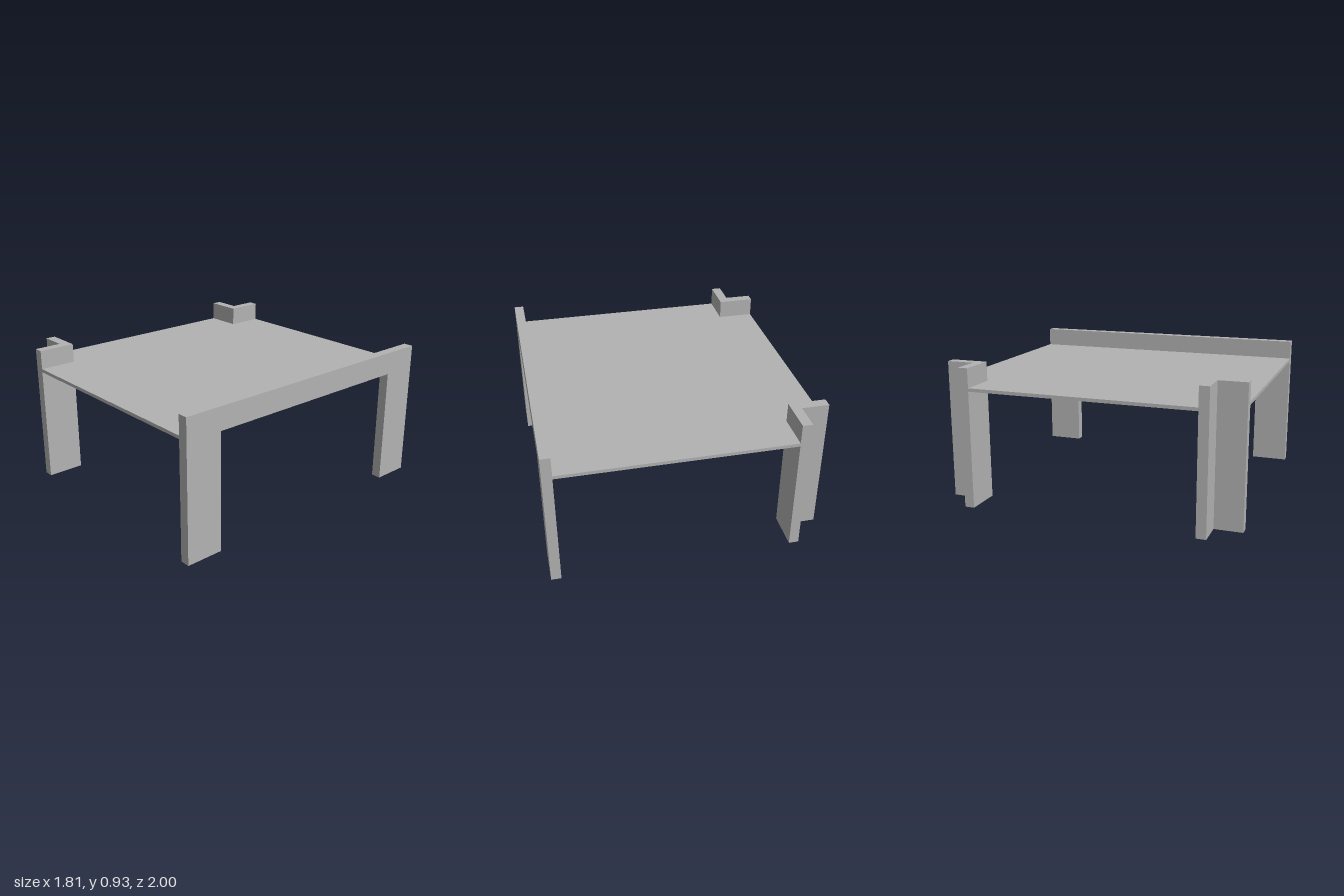
import * as THREE from 'three';

const W = 0.905, D = 1, H = 0.93; // half width, half depth, full height
const T = 0.065;                  // panel thickness
const SLAB_Y = 0.78, SLAB_T = 0.022;
const LEG_Z = 0.75, LEG_X = -0.66; // inner edges of the legs

function extrude(points, depth) {
  const shape = new THREE.Shape(points.map(([x, y]) => new THREE.Vector2(x, y)));
  return new THREE.ExtrudeGeometry(shape, { depth, bevelEnabled: false });
}

// Plan outline given as [x, z], raised from y0 by height
function fromPlan(points, y0, height) {
  return extrude(points.map(([x, z]) => [x, -z]), height)
    .rotateX(-Math.PI / 2)
    .translate(0, y0, 0);
}

export function createModel() {
  const group = new THREE.Group();
  const grey = new THREE.MeshStandardMaterial({ color: 0xb2b2b2 });
  grey.name = 'grey';

  const add = (name, geometry) => {
    const mesh = new THREE.Mesh(geometry, grey);
    mesh.name = name;
    group.add(mesh);
  };

  // Thin table top, cut out around the corner legs
  add('tableTop', fromPlan([
    [LEG_X, -D], [W - T, -D], [W - T, D], [LEG_X, D],
    [LEG_X, LEG_Z], [-W, LEG_Z], [-W, -LEG_Z], [LEG_X, -LEG_Z],
  ], SLAB_Y, SLAB_T));

  // Side frame: two legs joined by a raised rail
  add('sideFrame', extrude([
    [-D, 0], [-LEG_Z, 0], [-LEG_Z, SLAB_Y], [LEG_Z, SLAB_Y],
    [LEG_Z, 0], [D, 0], [D, H], [-D, H],
  ], T).rotateY(Math.PI / 2).translate(W - T, 0, 0));

  // L-shaped legs with the notch facing outwards
  for (const s of [1, -1]) {
    add(s > 0 ? 'frontCornerLeg' : 'backCornerLeg', fromPlan([
      [LEG_X, s * LEG_Z], [LEG_X, s * D], [LEG_X - T, s * D],
      [LEG_X - T, s * (LEG_Z + T)], [-W, s * (LEG_Z + T)], [-W, s * LEG_Z],
    ], 0, H));
  }
  return group;
}
